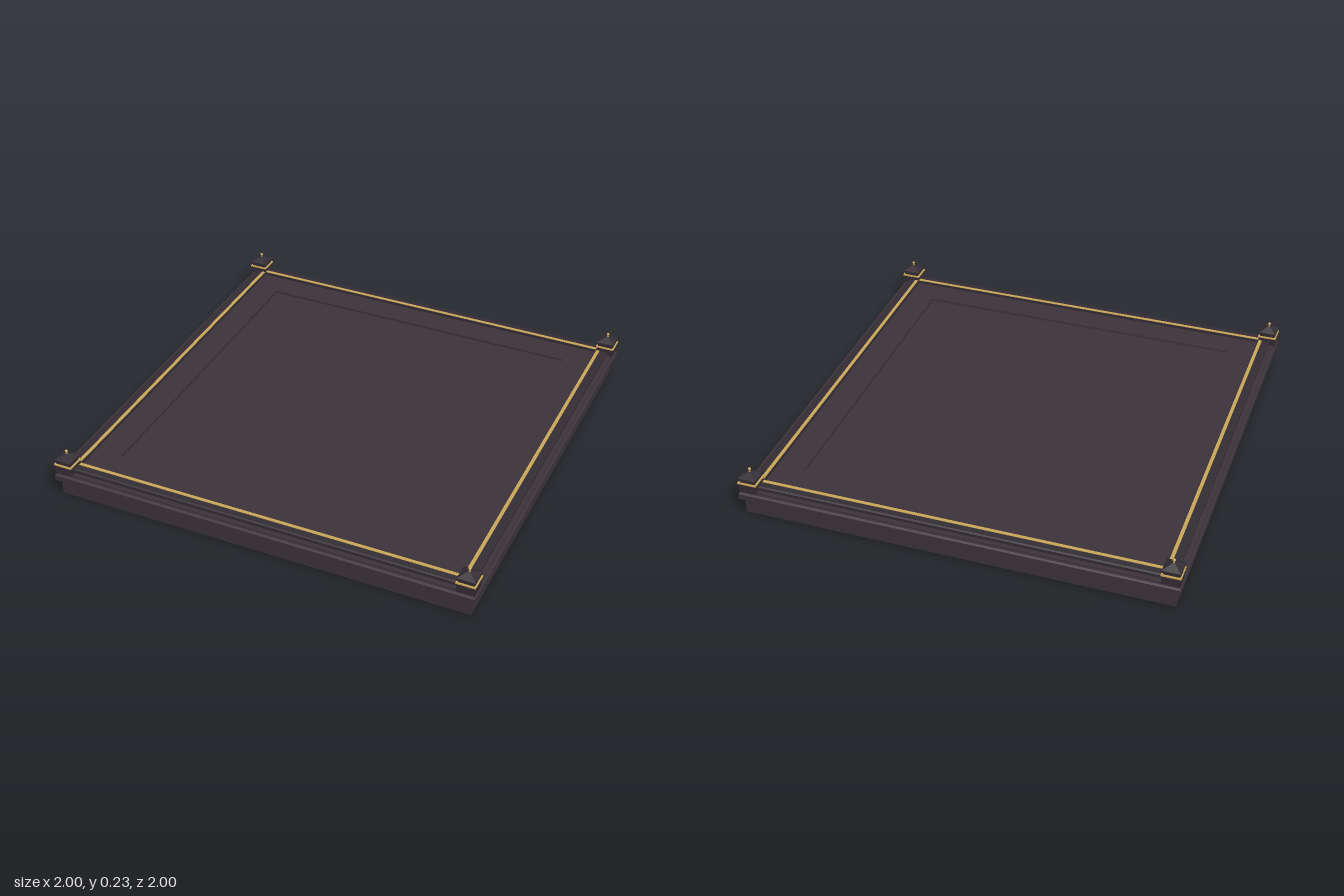
import * as THREE from 'three';

const stone = new THREE.MeshStandardMaterial({ color: 0x3b3339 });
stone.name = 'dark stone';
const trim = new THREE.MeshStandardMaterial({ color: 0x332c34 });
trim.name = 'darker trim';
const gold = new THREE.MeshStandardMaterial({ color: 0xc8a558 });
gold.name = 'gold';

// Square moulding: a profile of [half width, height] swept round four sides
function squareSweep(name, profile, material) {
  const points = profile.map(([r, y]) => new THREE.Vector2(r * Math.SQRT2, y));
  const geometry = new THREE.LatheGeometry(points, 4, Math.PI / 4).toNonIndexed();
  geometry.computeVertexNormals();
  const mesh = new THREE.Mesh(geometry, material);
  mesh.name = name;
  return mesh;
}

function createPost() {
  const post = new THREE.Group();
  post.add(
    squareSweep('postBlock', [[0, 0.12], [0.041, 0.12], [0.041, 0.162], [0, 0.162]], trim),
    squareSweep('postBand', [[0, 0.162], [0.044, 0.162], [0.044, 0.168], [0, 0.168]], gold),
    squareSweep('postNeck', [[0.036, 0.168], [0.036, 0.18]], trim),
    squareSweep('postCap', [[0, 0.178], [0.041, 0.178], [0.041, 0.19], [0, 0.213]], trim)
  );
  // Small gilded finial
  const stem = new THREE.Mesh(new THREE.CylinderGeometry(0.003, 0.005, 0.016, 8), gold);
  stem.name = 'finialStem';
  stem.position.y = 0.215;
  const ball = new THREE.Mesh(new THREE.SphereGeometry(0.007, 12, 8), gold);
  ball.name = 'finialBall';
  ball.position.y = 0.224;
  post.add(stem, ball);
  return post;
}

export function createModel() {
  const model = new THREE.Group();
  model.name = 'squarePlatform';

  // Plinth and projecting cornice
  model.add(
    squareSweep('plinth', [[0, 0], [0.98, 0], [0.98, 0.08]], stone),
    squareSweep('cornice', [
      [0.975, 0.08], [1, 0.08], [1, 0.106], [0.993, 0.112],
      [0.975, 0.112], [0.975, 0.118], [0.99, 0.118], [0.99, 0.125], [0.95, 0.125]
    ], stone)
  );

  // Raised border around the floor
  model.add(squareSweep('borderRail', [
    [0.968, 0.125], [0.968, 0.139], [0.962, 0.144], [0.912, 0.144], [0.912, 0.13]
  ], trim));

  // Floor with a shallow recessed panel
  model.add(
    squareSweep('floorBorder', [[0.915, 0.132], [0.785, 0.132]], stone),
    squareSweep('panelEdge', [[0.785, 0.132], [0.782, 0.122]], trim),
    squareSweep('floorPanel', [[0.783, 0.122], [0, 0.122]], stone)
  );

  // Gold inlay along each side, stopping at the posts
  for (let i = 0; i < 4; i++) {
    const inlay = new THREE.Mesh(new THREE.BoxGeometry(1.824, 0.006, 0.016), gold);
    inlay.name = 'goldInlay';
    const side = new THREE.Group();
    side.name = 'inlaySide';
    inlay.position.set(0, 0.1435, 0.924);
    side.rotation.y = i * Math.PI / 2;
    side.add(inlay);
    model.add(side);
  }

  // Corner posts
  for (const x of [-1, 1]) {
    for (const z of [-1, 1]) {
      const post = createPost();
      post.name = 'cornerPost';
      post.position.set(x * 0.955, 0, z * 0.955);
      model.add(post);
    }
  }
  return model;
}
